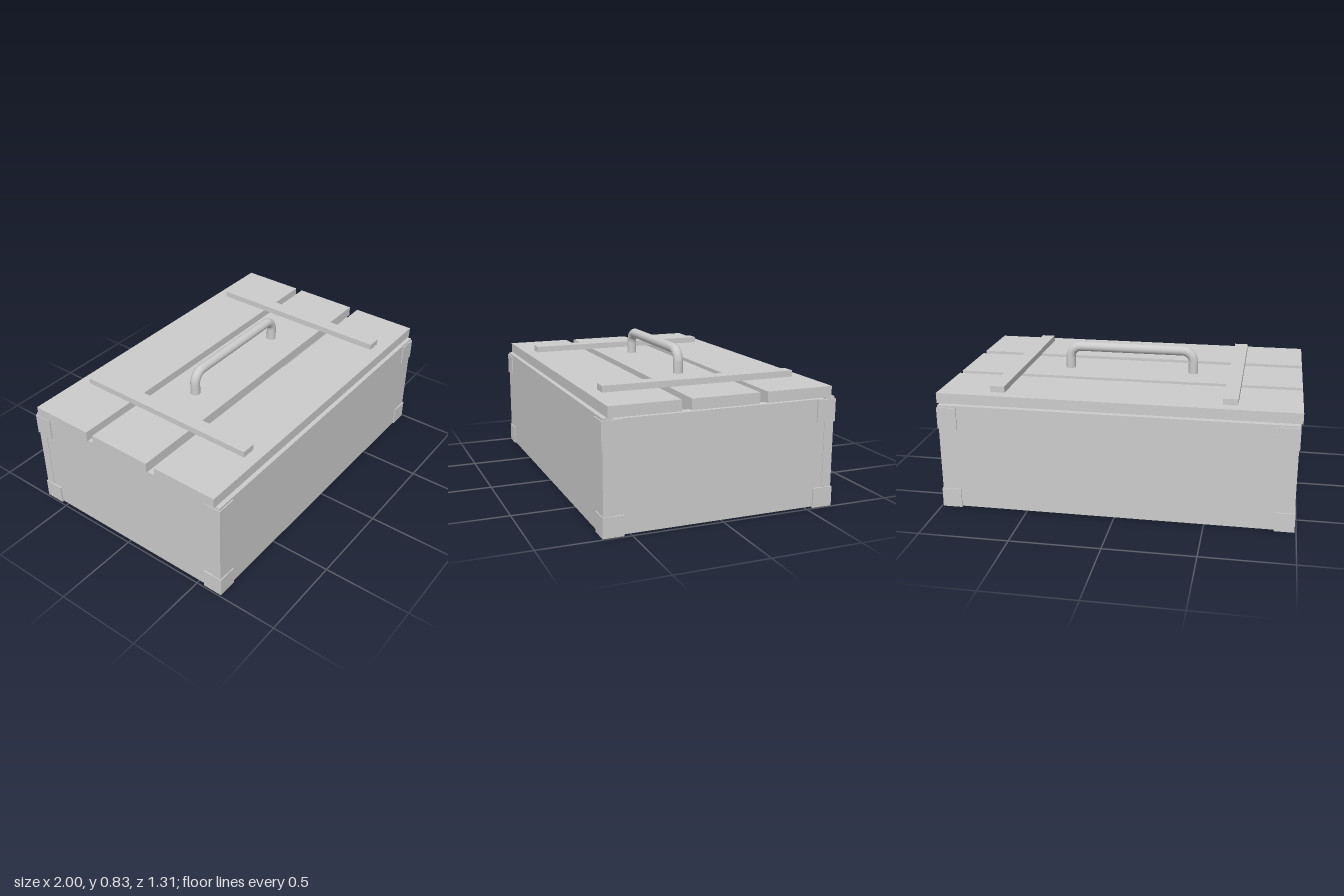
import * as THREE from 'three';

const material = new THREE.MeshStandardMaterial({ color: 0xcccccc });

// Box given by its limits on each axis
function slab(name, [x0, x1], [y0, y1], [z0, z1]) {
  const mesh = new THREE.Mesh(new THREE.BoxGeometry(x1 - x0, y1 - y0, z1 - z0), material);
  mesh.name = name;
  mesh.position.set((x0 + x1) / 2, (y0 + y1) / 2, (z0 + z1) / 2);
  return mesh;
}

// Thin metal plates wrapped round one corner of the box
function cornerBracket(sx, sz, top) {
  const group = new THREE.Group();
  group.name = top ? 'topCornerBracket' : 'bottomCornerBracket';
  const range = (s, a, b) => (s > 0 ? [a, b] : [-b, -a]);
  const y = top ? [0.475, 0.597] : [0, 0.11];
  const inner = top ? 0.548 : 0.54;
  group.add(
    slab('bracketSidePlate', range(sx, 0.975, 0.991), y, range(sz, inner, 0.655)),
    slab('bracketFacePlate', range(sx, 0.88, 0.991), y, range(sz, 0.64, 0.655))
  );
  if (!top) group.add(slab('bracketFootPlate', range(sx, 0.88, 0.991), [0, 0.008], range(sz, inner, 0.655)));
  return group;
}

// Rounded carrying handle standing on the lid
function handle() {
  const x0 = -0.363, x1 = 0.378, y0 = 0.66, y1 = 0.802, r = 0.065;
  const v = (x, y) => new THREE.Vector3(x, y, -0.01);
  const points = [v(x0, y0)];
  const arc = (cx, from, to) => {
    for (let i = 0; i <= 10; i++) {
      const a = from + ((to - from) * i) / 10;
      points.push(v(cx + r * Math.cos(a), y1 - r + r * Math.sin(a)));
    }
  };
  arc(x0 + r, Math.PI, Math.PI / 2);
  arc(x1 - r, Math.PI / 2, 0);
  points.push(v(x1, y0));
  const path = new THREE.CurvePath();
  for (let i = 1; i < points.length; i++) path.add(new THREE.LineCurve3(points[i - 1], points[i]));
  const mesh = new THREE.Mesh(new THREE.TubeGeometry(path, 120, 0.028, 20), material);
  mesh.name = 'handle';
  return mesh;
}

export function createModel() {
  const model = new THREE.Group();
  model.name = 'woodenBox';

  // Walls
  model.add(
    slab('frontWall', [-0.986, 0.986], [0.006, 0.61], [0.595, 0.649]),
    slab('backWall', [-0.986, 0.986], [0.006, 0.61], [-0.649, -0.595]),
    slab('leftWall', [0.93, 0.982], [0.006, 0.6], [-0.595, 0.595]),
    slab('rightWall', [-0.982, -0.93], [0.006, 0.6], [-0.595, 0.595])
  );

  // Floor boards with a gap between them
  for (const z of [[0.025, 0.595], [-0.595, -0.025]])
    model.add(slab('floorBoard', [-0.93, 0.93], [0.006, 0.05], z));

  // Lid planks and cross battens
  for (const z of [[0.24, 0.625], [-0.195, 0.185], [-0.62, -0.24]])
    model.add(slab('lidPlank', [-1, 1], [0.611, 0.67], z));
  for (const x of [[-0.658, -0.577], [0.627, 0.708]])
    model.add(slab('lidBatten', x, [0.67, 0.705], [-0.553, 0.553]));

  // Corner brackets
  for (const sx of [-1, 1])
    for (const sz of [-1, 1])
      for (const top of [false, true]) model.add(cornerBracket(sx, sz, top));

  model.add(handle());
  return model;
}
